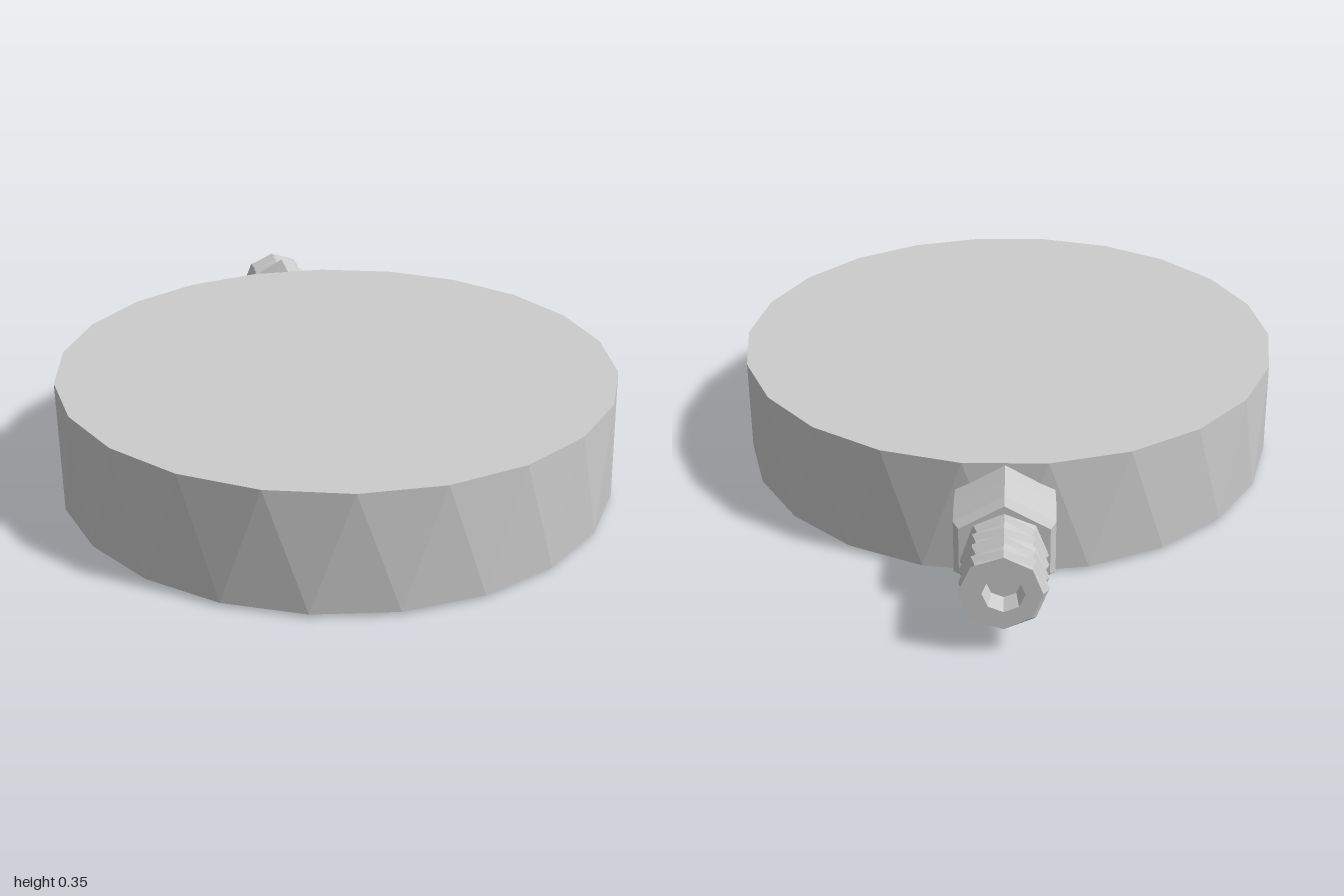
import * as THREE from 'three';

const grey = new THREE.MeshStandardMaterial({ color: 0xcccccc, flatShading: true, side: THREE.DoubleSide });

// Faceted turned part from [radius, height] pairs; move(v) may shift each vertex
function turned(name, profile, sides, move = () => {}) {
  const geometry = new THREE.LatheGeometry(profile.map(([r, h]) => new THREE.Vector2(r, h)), sides);
  const position = geometry.attributes.position;
  const v = new THREE.Vector3();
  for (let i = 0; i < position.count; i++) {
    move(v.fromBufferAttribute(position, i));
    position.setXYZ(i, v.x, v.y, v.z);
  }
  geometry.computeVertexNormals();
  const mesh = new THREE.Mesh(geometry, grey);
  mesh.name = name;
  return mesh;
}

export function createModel() {
  const group = new THREE.Group();
  group.name = 'dialGauge';

  // Cup-shaped case with a stepped recess and a narrow lip underneath; its top
  // rim is turned half a side so that the outer wall breaks into triangles
  const sides = 22, top = 0.353;
  const up = new THREE.Vector3(0, 1, 0);
  const housing = turned('housing', [
    [0, 0.278], [0.71, 0.278], [0.705, 0.137], [0.735, 0.137], [0.72, 0.008],
    [0.742, 0.002], [0.8, 0], [0.824, 0.01], [0.82, top], [0, top],
  ], sides, (v) => {
    if (v.y > top - 0.01) v.applyAxisAngle(up, Math.PI / sides);
  });
  housing.position.z = 0.177;
  group.add(housing);

  // Small pins standing out of the recessed face
  for (const [name, x, z, r] of [['facePin', -0.18, 0.4, 0.045], ['stopPin', -0.55, 0.1, 0.016]]) {
    const pin = new THREE.Mesh(new THREE.ConeGeometry(r, 0.04, 4), grey);
    pin.name = name;
    pin.rotation.x = Math.PI;
    pin.position.set(x, 0.26, z);
    group.add(pin);
  }

  // Connector axis: local +y points to the back (-z)
  const connector = new THREE.Group();
  connector.name = 'connector';
  connector.rotation.x = -Math.PI / 2;
  connector.position.set(0, 0.191, 0);

  // Hexagonal nut with a light chamfer
  connector.add(turned('hexNut', [
    [0, 0.6], [0.155, 0.6], [0.157, 0.7], [0.155, 0.79], [0.138, 0.812], [0, 0.812],
  ], 6));

  // Threaded stub with an open bore and four turns of helical ridge
  const rows = 14, start = 0.8, length = 0.2;
  const profile = [];
  for (let i = 0; i <= rows; i++) profile.push([0.108, start + length * i / rows]);
  profile.push([0.055, 1], [0.045, 0.95], [0, 0.95]);
  connector.add(turned('threadedStub', profile, 8, (v) => {
    if (Math.hypot(v.x, v.z) < 0.1) return;
    const k = 1 + 0.08 * Math.sin(Math.atan2(v.x, v.z) + (v.y - start) / length * 8 * Math.PI);
    v.x *= k;
    v.z *= k;
  }));
  group.add(connector);

  return group;
}
